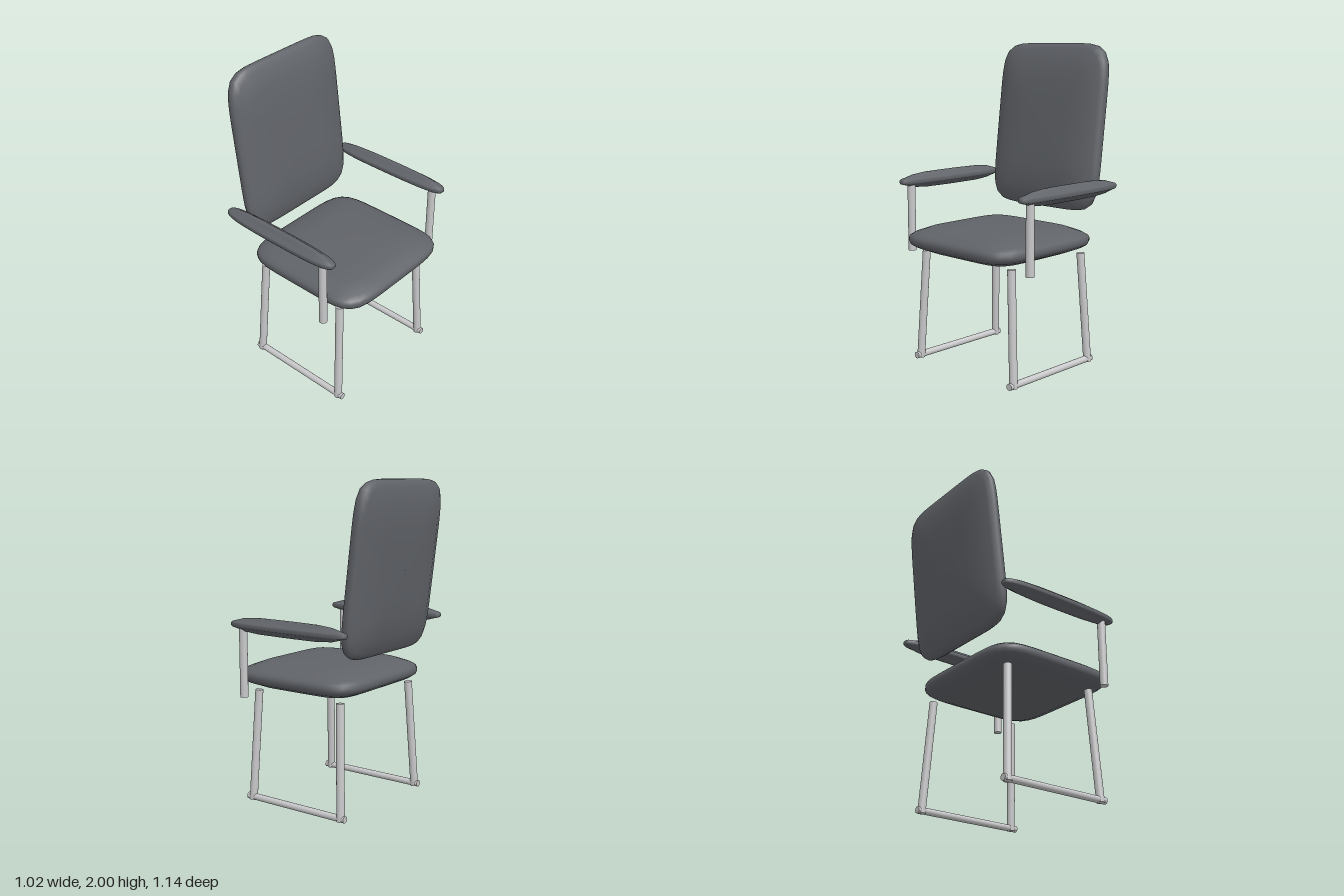
import * as THREE from 'three';

// Half profiles from rim to crown: [length scale, width scale, height scale]
const PAD = [[1, 1, 0.1], [0.985, 0.985, 0.3], [0.93, 0.93, 0.5], [0.76, 0.76, 0.86], [0.5, 0.5, 0.96], [0.25, 0.25, 0.99], [0.002, 0.002, 1]];
const ARM = [[1, 1, 0.15], [0.985, 0.94, 0.3], [0.9, 0.6, 0.5], [0.78, 0.38, 0.78], [0.55, 0.22, 0.96], [0.25, 0.1, 1], [0.002, 0.002, 1]];

// Puffy pad: superelliptic rings stacked along y
function padGeometry(a, h, b, n, half) {
  const seg = 64;
  const rings = [...half.map(([u, w, t]) => [u, w, -t]).reverse(), ...half];
  const pos = [], index = [];
  for (const [u, w, t] of rings) {
    for (let i = 0; i < seg; i++) {
      const q = (i / seg) * Math.PI * 2, c = Math.cos(q), s = Math.sin(q);
      const r = Math.pow(Math.abs(c) ** n + Math.abs(s) ** n, -1 / n);
      pos.push(a * u * r * c, h * t, b * w * r * s);
    }
  }
  for (let j = 0; j < rings.length - 1; j++) {
    for (let i = 0; i < seg; i++) {
      const p = j * seg + i, q = j * seg + ((i + 1) % seg);
      index.push(p, p + seg, q, q, p + seg, q + seg);
    }
  }
  const g = new THREE.BufferGeometry();
  g.setAttribute('position', new THREE.Float32BufferAttribute(pos, 3));
  g.setIndex(index);
  g.computeVertexNormals();
  return g;
}

export function createModel() {
  const chair = new THREE.Group();
  chair.name = 'armchair';
  const upholstery = new THREE.MeshStandardMaterial({ color: 0x606368 });
  upholstery.name = 'grey upholstery';
  const metal = new THREE.MeshStandardMaterial({ color: 0xc8c8ca });
  metal.name = 'pale metal';

  const add = (name, geometry, material, x, y, z) => {
    const mesh = new THREE.Mesh(geometry, material);
    mesh.name = name;
    mesh.position.set(x, y, z);
    chair.add(mesh);
    return mesh;
  };

  // Straight round tube between two points
  const tube = (name, from, to, radius) => {
    const p = new THREE.Vector3(...from), q = new THREE.Vector3(...to);
    const d = q.clone().sub(p);
    const mid = p.add(q).multiplyScalar(0.5);
    const mesh = add(name, new THREE.CylinderGeometry(radius, radius, d.length(), 24), metal, mid.x, mid.y, mid.z);
    mesh.quaternion.setFromUnitVectors(new THREE.Vector3(0, 1, 0), d.normalize());
  };

  // Seat and leaning backrest
  add('seat', padGeometry(0.44, 0.0875, 0.455, 6, PAD), upholstery, 0.068, 0.797, 0);
  const back = add('backrest', padGeometry(0.525, 0.083, 0.44, 7, PAD), upholstery, -0.395, 1.48, 0);
  back.rotation.z = Math.PI / 2 + 0.12;

  // Armrests, posts, splayed legs and floor rails on both sides
  for (const s of [1, -1]) {
    add('armrest', padGeometry(0.425, 0.05, 0.057, 3, ARM), upholstery, 0, 1.138, s * 0.515);
    tube('armrestPost', [0.34, 0.69, s * 0.515], [0.34, 1.13, s * 0.515], 0.025);
    tube('frontLeg', [0.343, 0.71, s * 0.372], [0.368, 0.005, s * 0.413], 0.025);
    tube('rearLeg', [-0.279, 0.71, s * 0.372], [-0.312, 0.005, s * 0.413], 0.025);
    tube('floorRail', [-0.343, 0.022, s * 0.412], [0.405, 0.022, s * 0.412], 0.021);
  }
  return chair;
}
